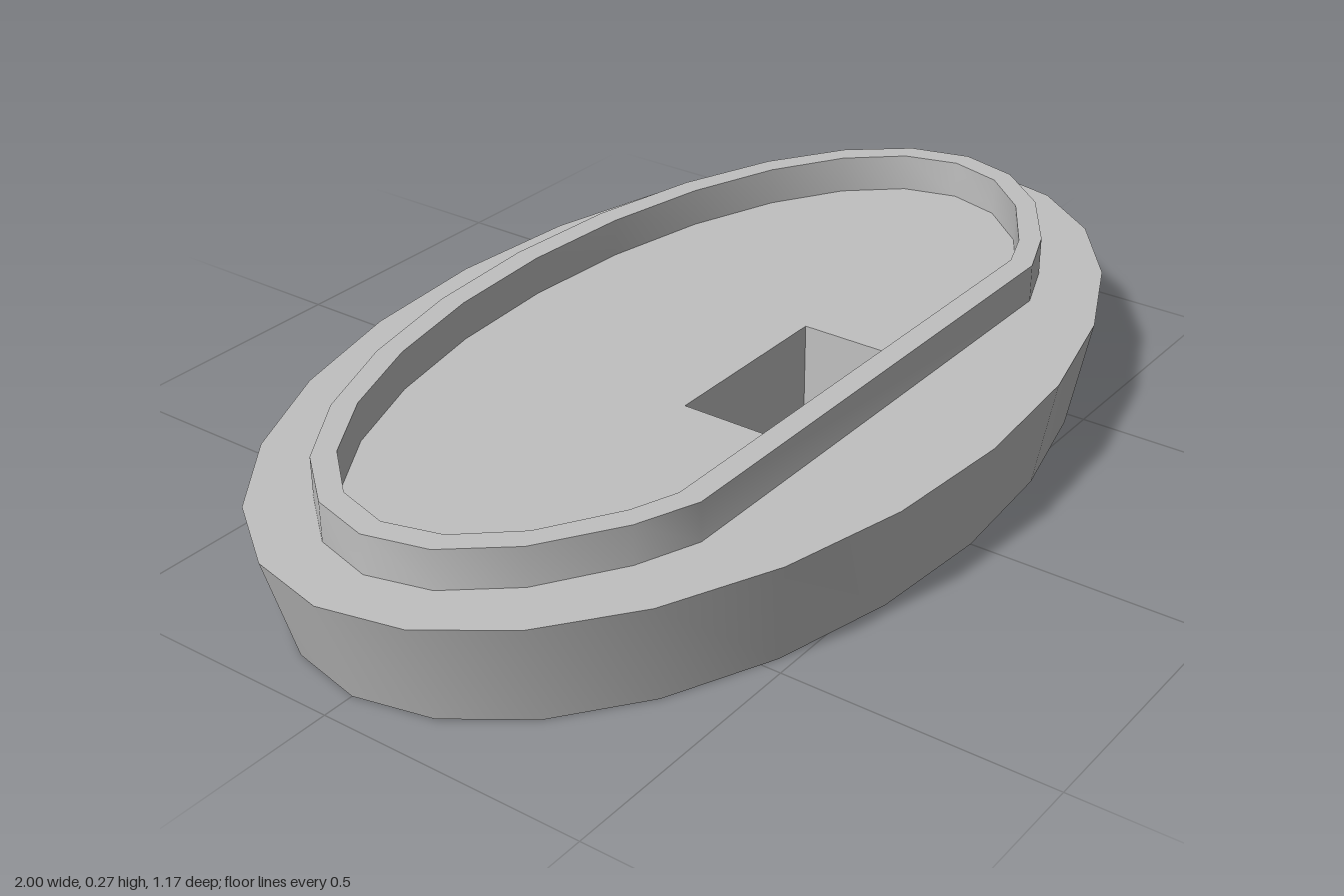
import * as THREE from 'three';
import { toCreasedNormals } from 'three/addons/utils/BufferGeometryUtils.js';

const SEGMENTS = 24;
const BASE_DEPTH = 0.583;   // half depth of the base ellipse
const BASE_HEIGHT = 0.2;
const RIM_HEIGHT = 0.073;
const CREASE = 0.6;

// Ellipse outline, optionally cut straight across the front at z = cut
function ovalPoints(a, b, cut = Infinity) {
  const ring = [];
  for (let i = 0; i < SEGMENTS; i++) {
    const t = (i / SEGMENTS) * Math.PI * 2;
    ring.push(new THREE.Vector2(a * Math.cos(t), b * Math.sin(t)));
  }
  const out = [];
  ring.forEach((p, i) => {
    const q = ring[(i + 1) % SEGMENTS];
    if (p.y <= cut) out.push(p);
    if ((p.y <= cut) !== (q.y <= cut)) {
      out.push(p.clone().lerp(q, (cut - p.y) / (q.y - p.y)));
    }
  });
  return out;
}

// Upright slab: outline in x/z with one hole, spanning y from bottom to bottom + height
function slab(outline, hole, bottom, height) {
  const shape = new THREE.Shape(outline);
  shape.holes.push(new THREE.Path(hole));
  const geometry = new THREE.ExtrudeGeometry(shape, { depth: height, bevelEnabled: false });
  geometry.rotateX(Math.PI / 2);
  geometry.translate(0, bottom + height, 0);
  return geometry;
}

function addMesh(group, name, geometry, material) {
  const mesh = new THREE.Mesh(toCreasedNormals(geometry, CREASE), material);
  mesh.name = name;
  group.add(mesh);
}

export function createModel() {
  const group = new THREE.Group();
  group.name = 'ovalBase';
  const grey = new THREE.MeshStandardMaterial({ color: 0xc0c0c0 });
  grey.name = 'light grey';

  // Base plate with a rectangular slot right through it
  const slot = [[-0.185, 0.08], [0.185, 0.08], [0.185, 0.25], [-0.185, 0.25]]
    .map(([x, z]) => new THREE.Vector2(x, z));
  const base = slab(ovalPoints(1, BASE_DEPTH), slot, 0, BASE_HEIGHT);

  // Taper the outer wall inwards towards the bottom; the slot stays straight
  const pos = base.attributes.position;
  for (let i = 0; i < pos.count; i++) {
    const x = pos.getX(i), z = pos.getZ(i);
    const onWall = Math.hypot(x, z / BASE_DEPTH) > 0.9;
    if (onWall && pos.getY(i) < BASE_HEIGHT / 2) {
      pos.setX(i, x * 0.94);
      pos.setZ(i, z * 0.943);
    }
  }
  addMesh(group, 'basePlate', base, grey);

  // Raised locating rim, flattened along the front
  const rim = slab(
    ovalPoints(0.895, 0.447, 0.36),
    ovalPoints(0.85, 0.403, 0.316),
    BASE_HEIGHT, RIM_HEIGHT
  );
  addMesh(group, 'raisedRim', rim, grey);

  return group;
}
